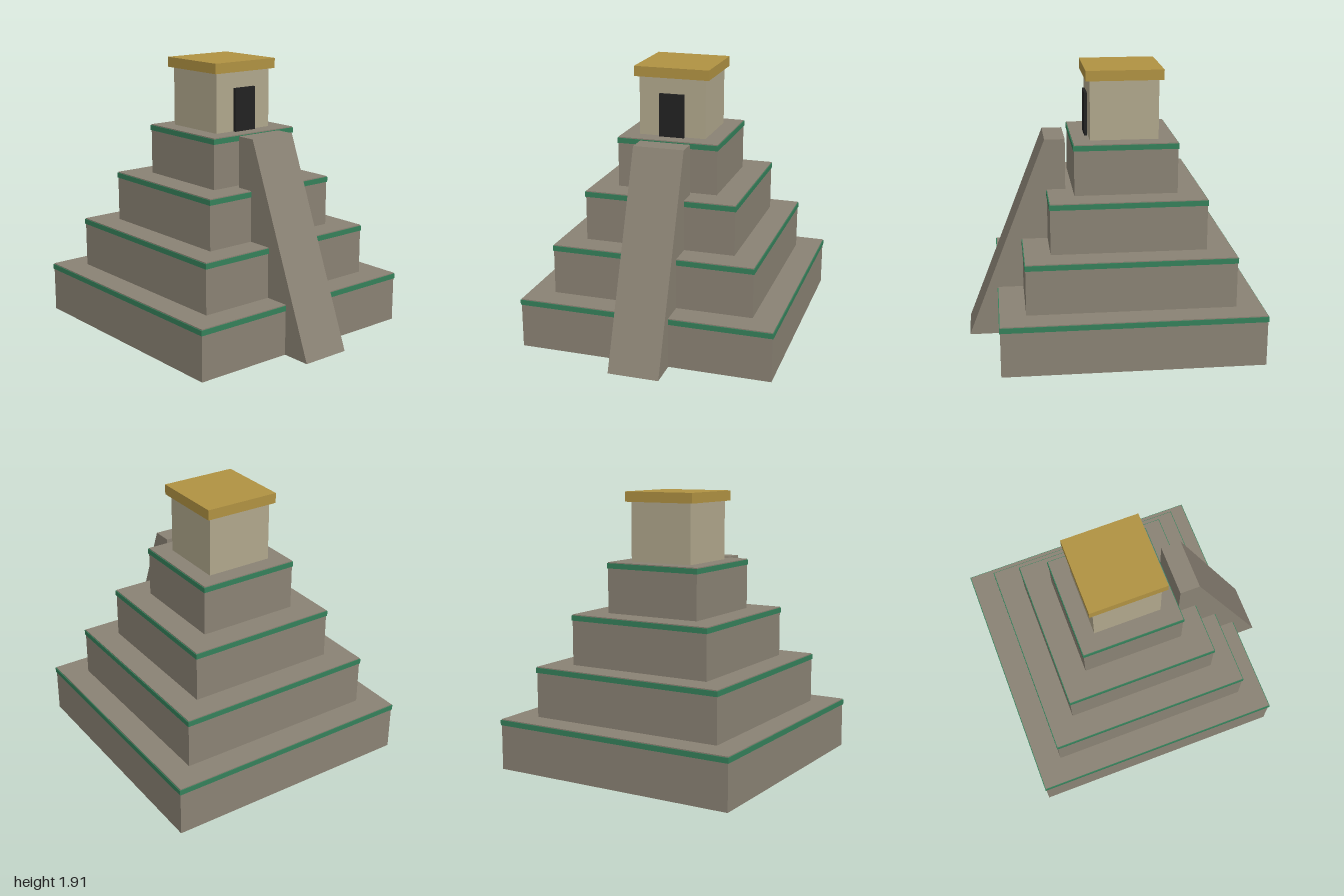
import * as THREE from 'three';

const flat = (name, color) => {
  const m = new THREE.MeshStandardMaterial({ color });
  m.name = name;
  return m;
};

export function createModel() {
  const stone = flat('stone', 0x8a8274);
  const green = flat('green trim', 0x35805a);
  const plaster = flat('pale plaster', 0xb0a78c);
  const gold = flat('gold', 0xb09242);
  const dark = flat('dark doorway', 0x222222);

  const model = new THREE.Group();
  model.name = 'steppedPyramid';
  const unit = 0.1783;      // tier setback
  const tierHeight = 0.3567;
  const centreZ = -0.103;   // the terraces sit behind the stairway

  // Box standing on height y
  const box = (name, material, w, h, d, y, z = centreZ) => {
    const mesh = new THREE.Mesh(new THREE.BoxGeometry(w, h, d), material);
    mesh.name = name;
    mesh.position.set(0, y + h / 2, z);
    model.add(mesh);
  };

  // Four terraces, each with a thin projecting band just under its top edge
  for (let i = 0; i < 4; i++) {
    const width = unit * (10 - 2 * i);
    const y = i * tierHeight;
    box(`terrace${i + 1}`, stone, width, tierHeight, width, y);
    box(`terraceBand${i + 1}`, green, width + 0.011, 0.036, width + 0.011, y + 0.314);
  }

  // Temple on the summit
  const summit = 4 * tierHeight;
  box('templeWalls', plaster, 0.475, 0.415, 0.475, summit);
  box('templeRoof', gold, 0.535, 0.071, 0.535, summit + 0.415);
  box('doorway', dark, 0.178, 0.303, 0.02, summit, 0.15);

  // Sloping stairway: side profile (z, y) extruded across x
  const profile = new THREE.Shape();
  profile.moveTo(0.303, 0);
  profile.lineTo(1, 0);
  profile.lineTo(0.445, summit);
  profile.lineTo(0.303, summit);
  profile.closePath();
  const rampGeometry = new THREE.ExtrudeGeometry(profile, { depth: 2 * unit, bevelEnabled: false });
  rampGeometry.translate(0, 0, -unit).rotateY(-Math.PI / 2);
  const ramp = new THREE.Mesh(rampGeometry, stone);
  ramp.name = 'stairwayRamp';
  model.add(ramp);

  return model;
}
